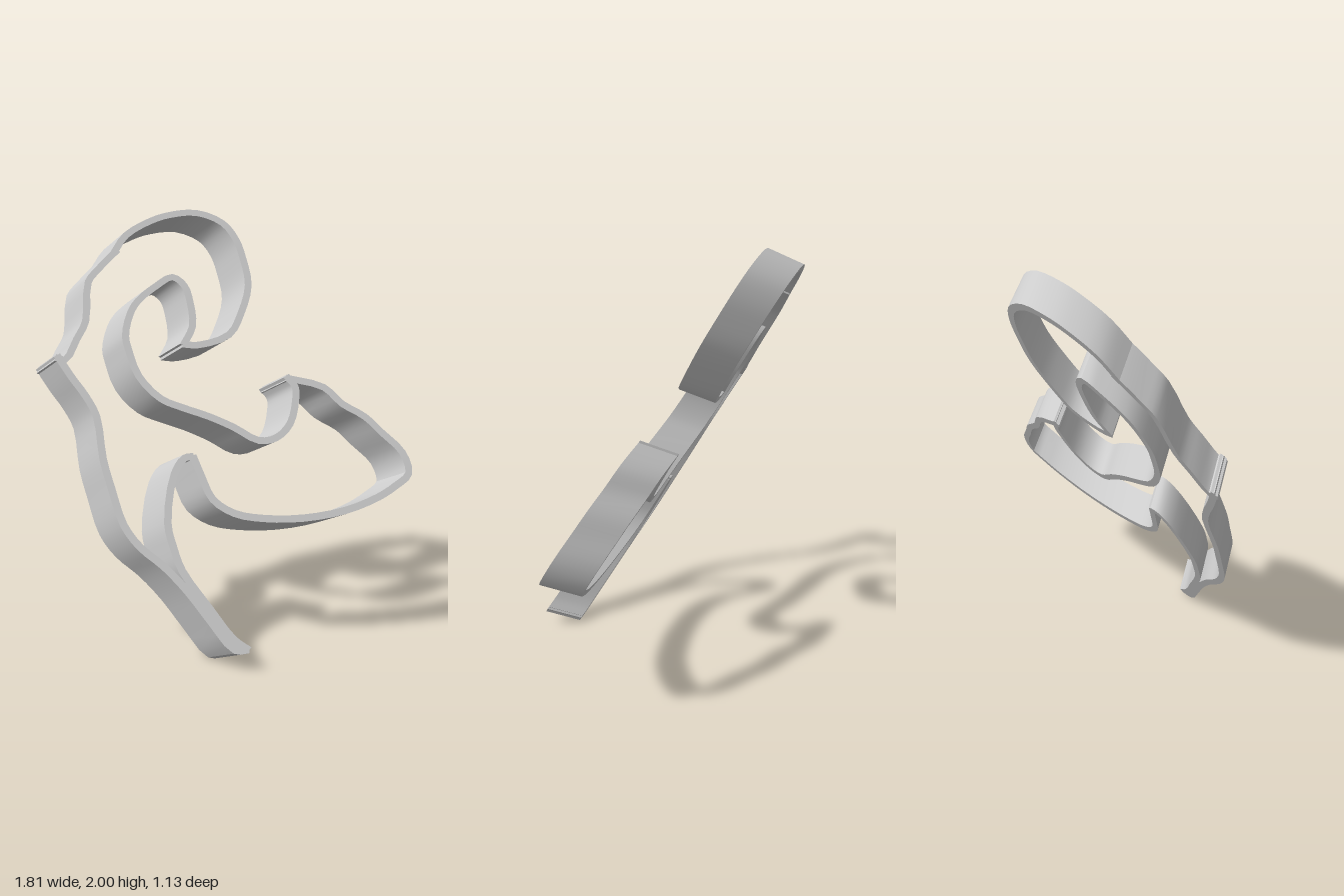
import * as THREE from 'three';
import { toCreasedNormals } from 'three/addons/utils/BufferGeometryUtils.js';

const HALF = 0.017; // half the wall thickness
const DEPTH = new THREE.Vector3(-0.13, -0.08, -0.118); // from front rim to back rim
const NORMAL = new THREE.Vector3(0.276, 0.571, 1).normalize(); // of the tilted rim plane

// Rim point on the tilted plane
const onPlane = ([x, y]) => new THREE.Vector3(x, y, 0.656 - 0.276 * x - 0.571 * y);

// Flat band following a rim line, with a rectangular cross-section and closed ends
function band(points) {
  const curve = new THREE.CatmullRomCurve3(points.map(onPlane), false, 'centripetal');
  const steps = (points.length - 1) * 3;
  const rings = [];
  for (let i = 0; i <= steps; i++) {
    const p = curve.getPoint(i / steps);
    const s = NORMAL.clone().cross(curve.getTangent(i / steps)).normalize().multiplyScalar(HALF);
    const left = p.clone().add(s), right = p.clone().sub(s);
    rings.push([left, right, right.clone().add(DEPTH), left.clone().add(DEPTH)]);
  }
  const pos = [];
  const quad = (a, b, c, d) => [a, b, c, a, c, d].forEach((v) => pos.push(v.x, v.y, v.z));
  for (let i = 0; i < steps; i++) {
    const a = rings[i], b = rings[i + 1];
    for (let j = 0; j < 4; j++) {
      const k = (j + 1) % 4;
      quad(a[j], a[k], b[k], b[j]);
    }
  }
  const [l, r, rd, ld] = rings[0];
  quad(ld, rd, r, l);
  quad(...rings[steps]);
  const g = new THREE.BufferGeometry();
  g.setAttribute('position', new THREE.Float32BufferAttribute(pos, 3));
  return toCreasedNormals(g, 0.5);
}

export function createModel() {
  const group = new THREE.Group();
  const material = new THREE.MeshStandardMaterial({ color: 0xcccccc });

  // Rim lines as x, y seen from the front
  const bands = {
    // long back edge, from the foot up to the left corner
    backBand: [[0.19, 0.1], [0.13, 0.1], [0.02, 0.21], [-0.09, 0.33], [-0.2, 0.43], [-0.31, 0.51],
      [-0.39, 0.6], [-0.46, 0.75], [-0.51, 0.87], [-0.56, 1.05], [-0.62, 1.14], [-0.69, 1.22], [-0.77, 1.32]],
    // neck, from the left corner to the small overlap
    neckBand: [[-0.775, 1.31], [-0.73, 1.3], [-0.69, 1.39], [-0.66, 1.47], [-0.67, 1.65],
      [-0.63, 1.71], [-0.58, 1.77], [-0.55, 1.8]],
    // large loop at the top
    crownBand: [[-0.57, 1.78], [-0.52, 1.87], [-0.41, 1.94], [-0.32, 1.97], [-0.19, 1.98], [-0.06, 1.93],
      [0.01, 1.85], [0.05, 1.76], [0.085, 1.63], [0.06, 1.5], [0.01, 1.4], [-0.13, 1.355], [-0.205, 1.36]],
    // inner hook and the sweep below it
    hookBand: [[-0.2, 1.355], [-0.165, 1.44], [-0.185, 1.55], [-0.22, 1.63], [-0.28, 1.67], [-0.35, 1.63],
      [-0.43, 1.56], [-0.46, 1.5], [-0.47, 1.4], [-0.45, 1.34], [-0.39, 1.22], [-0.28, 1.12], [-0.18, 1.08],
      [-0.06, 1.04], [0.06, 0.99], [0.18, 0.93], [0.26, 0.94], [0.32, 1.0], [0.34, 1.1], [0.335, 1.16], [0.29, 1.21]],
    // wide loop on the other side
    bowlBand: [[0.29, 1.2], [0.47, 1.155], [0.56, 1.08], [0.67, 1.02], [0.75, 0.95], [0.85, 0.86], [0.88, 0.77],
      [0.82, 0.72], [0.74, 0.675], [0.59, 0.625], [0.4, 0.6], [0.22, 0.605], [0.09, 0.63],
      [-0.01, 0.69], [-0.07, 0.79], [-0.115, 0.875]],
    // stem returning to the foot
    stemBand: [[-0.11, 0.87], [-0.15, 0.865], [-0.19, 0.8], [-0.2, 0.6], [-0.165, 0.5], [-0.12, 0.41],
      [0.01, 0.26], [0.12, 0.14], [0.19, 0.095]],
  };
  for (const [name, points] of Object.entries(bands)) {
    const mesh = new THREE.Mesh(band(points), material);
    mesh.name = name;
    group.add(mesh);
  }
  return group;
}
